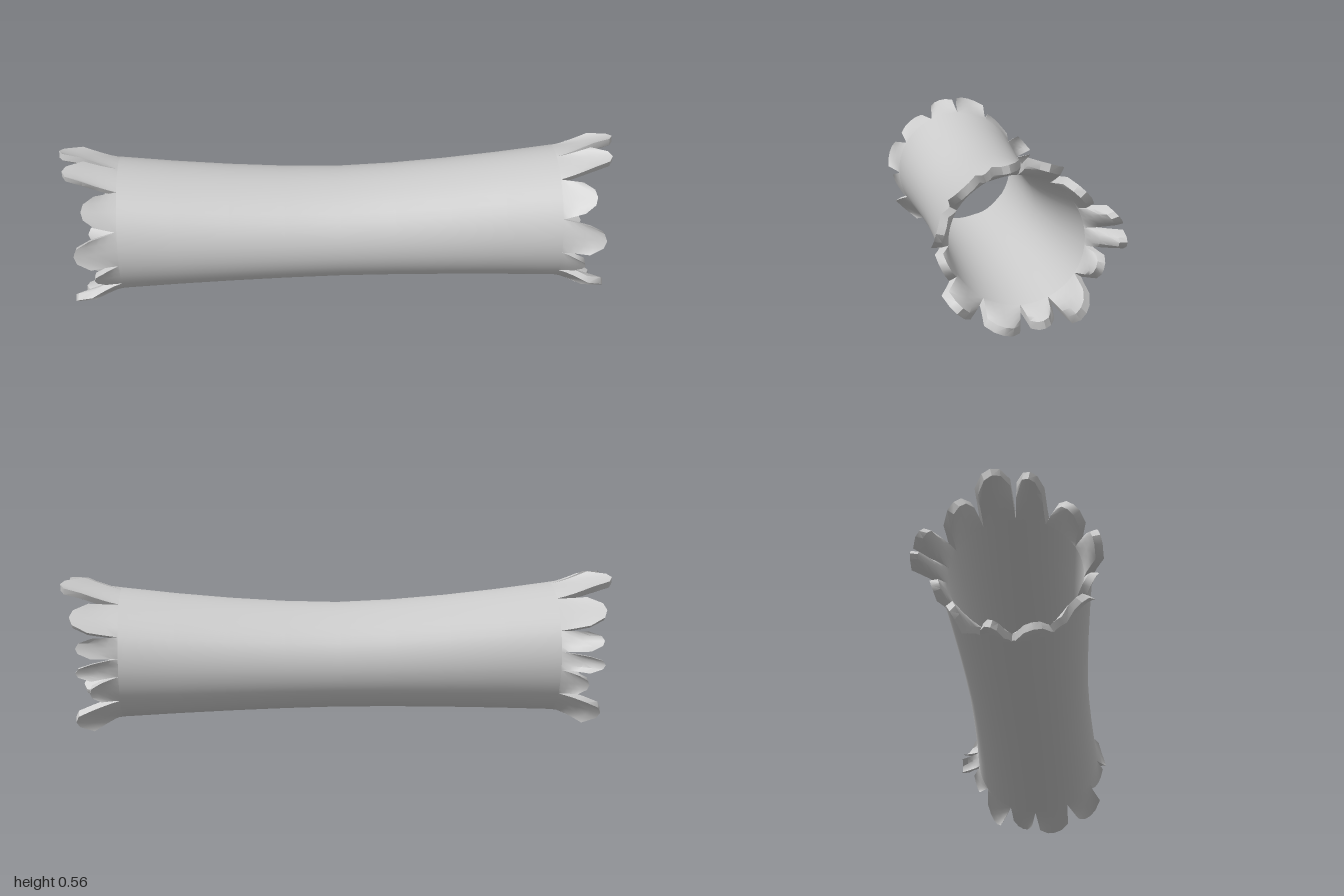
import * as THREE from 'three';
import { toCreasedNormals } from 'three/addons/utils/BufferGeometryUtils.js';

const ROOT = 0.79;   // where the splinters begin
const CZ = 0.021;    // axis of the log in z
const WALL = 0.026;
const COLS = 4;      // strips across one splinter
const ROWS = [0, 0.25, 0.5, 0.75, 1];
const lerp = THREE.MathUtils.lerp;

// Splinters around the rim: [z, y] of both tip corners, then the reach along x
const SPLINTERS = [
  [0.03, 0.563, 0.12, 0.537, 0.98],
  [0.165, 0.505, 0.25, 0.43, 0.91],
  [0.275, 0.39, 0.305, 0.285, 0.94],
  [0.29, 0.255, 0.245, 0.17, 0.88],
  [0.275, 0.135, 0.185, 0.055, 0.96],
  [0.14, 0.03, 0.025, 0.003, 0.94],
  [-0.01, 0.015, -0.085, 0.045, 0.93],
  [-0.14, 0.03, -0.195, 0.125, 0.95],
  [-0.225, 0.165, -0.25, 0.24, 0.89],
  [-0.305, 0.265, -0.303, 0.325, 0.93],
  [-0.303, 0.345, -0.25, 0.405, 0.93],
  [-0.205, 0.415, -0.12, 0.5, 0.96],
  [-0.105, 0.535, 0.01, 0.567, 1.0],
];

// Oval section of the log: slim in the middle, wider at the ends
function section(x) {
  const f = Math.pow(Math.min(Math.abs(x) / ROOT, 1), 1.6);
  return { cy: 0.262 + 0.021 * f, ry: 0.192 + 0.045 * f, rz: 0.22 + 0.026 * f };
}

function rimPoint(x, angle, scale, inset) {
  const { cy, ry, rz } = section(x);
  return [x, cy + Math.cos(angle) * (ry * scale - inset), CZ + Math.sin(angle) * (rz * scale - inset)];
}

// Angles and flare of every splinter, with roots meeting halfway between tips
function layoutSplinters() {
  const { cy, ry, rz } = section(ROOT);
  let last = 0;
  const polar = (z, y) => {
    const dz = (z - CZ) / rz, dy = (y - cy) / ry;
    let angle = Math.atan2(dz, dy);
    while (angle < last - 0.01) angle += Math.PI * 2;
    last = angle;
    return { angle, scale: Math.hypot(dz, dy) };
  };
  const list = SPLINTERS.map(([z0, y0, z1, y1, reach]) => ({ a: polar(z0, y0), b: polar(z1, y1), reach }));
  const n = list.length, turn = Math.PI * 2;
  list.forEach((s, i) => {
    const before = i ? list[i - 1].b.angle : list[n - 1].b.angle - turn;
    const after = i < n - 1 ? list[i + 1].a.angle : list[0].a.angle + turn;
    s.root0 = (before + s.a.angle) / 2;
    s.root1 = (after + s.b.angle) / 2;
  });
  return list;
}

// Collects quads; flip mirrors them to the -x end
function quadSoup() {
  const pos = [];
  return {
    quad(a, b, c, d, flip = false) {
      const q = flip ? [d, c, b, a].map(([x, y, z]) => [-x, y, z]) : [a, b, c, d];
      for (const k of [0, 1, 2, 0, 2, 3]) pos.push(...q[k]);
    },
    mesh(name, material) {
      const g = new THREE.BufferGeometry();
      g.setAttribute('position', new THREE.Float32BufferAttribute(pos, 3));
      const m = new THREE.Mesh(toCreasedNormals(g, 0.7), material);
      m.name = name;
      return m;
    },
  };
}

// Point on a splinter: u across, s from root to tip; corners are rounded back
function splinterPoint(sp, u, s, inset) {
  const angle = lerp(lerp(sp.root0, sp.root1, u), lerp(sp.a.angle, sp.b.angle, u), s);
  const scale = lerp(1, lerp(sp.a.scale, sp.b.scale, u), Math.pow(s, 1.25));
  const length = (sp.reach - ROOT) * (1 - 0.38 * Math.pow(Math.abs(2 * u - 1), 2.5));
  return rimPoint(ROOT + s * length, angle, scale, inset);
}

function addSplinter(soup, sp, flip) {
  const out = (u, s) => splinterPoint(sp, u, s, 0);
  const inn = (u, s) => splinterPoint(sp, u, s, WALL);
  for (let r = 0; r < ROWS.length - 1; r++) {
    const s0 = ROWS[r], s1 = ROWS[r + 1];
    for (let c = 0; c < COLS; c++) {
      const u0 = c / COLS, u1 = (c + 1) / COLS;
      soup.quad(out(u0, s0), out(u1, s0), out(u1, s1), out(u0, s1), flip);
      soup.quad(inn(u0, s1), inn(u1, s1), inn(u1, s0), inn(u0, s0), flip);
    }
    // split sides
    soup.quad(inn(1, s0), inn(1, s1), out(1, s1), out(1, s0), flip);
    soup.quad(out(0, s0), out(0, s1), inn(0, s1), inn(0, s0), flip);
  }
  // broken tip
  for (let c = 0; c < COLS; c++) {
    const u0 = c / COLS, u1 = (c + 1) / COLS;
    soup.quad(out(u0, 1), out(u1, 1), inn(u1, 1), inn(u0, 1), flip);
  }
}

export function createModel() {
  const group = new THREE.Group();
  group.name = 'hollowLog';
  const material = new THREE.MeshStandardMaterial({ color: 0xcccccc });
  const splinters = layoutSplinters();

  // Hollow trunk, sharing its seams with the splinter roots
  const trunk = quadSoup();
  const steps = 8;
  for (const sp of splinters) {
    for (let c = 0; c < COLS; c++) {
      const a0 = lerp(sp.root0, sp.root1, c / COLS), a1 = lerp(sp.root0, sp.root1, (c + 1) / COLS);
      for (let i = 0; i < steps; i++) {
        const x0 = ROOT * (2 * i / steps - 1), x1 = ROOT * (2 * (i + 1) / steps - 1);
        const p = (x, a, inset) => rimPoint(x, a, 1, inset);
        trunk.quad(p(x0, a0, 0), p(x0, a1, 0), p(x1, a1, 0), p(x1, a0, 0));
        trunk.quad(p(x1, a0, WALL), p(x1, a1, WALL), p(x0, a1, WALL), p(x0, a0, WALL));
      }
    }
  }
  group.add(trunk.mesh('trunk', material));

  // Splintered ends, mirrored
  for (const [name, flip] of [['leftSplinters', false], ['rightSplinters', true]]) {
    const end = quadSoup();
    splinters.forEach((sp) => addSplinter(end, sp, flip));
    group.add(end.mesh(name, material));
  }
  return group;
}
